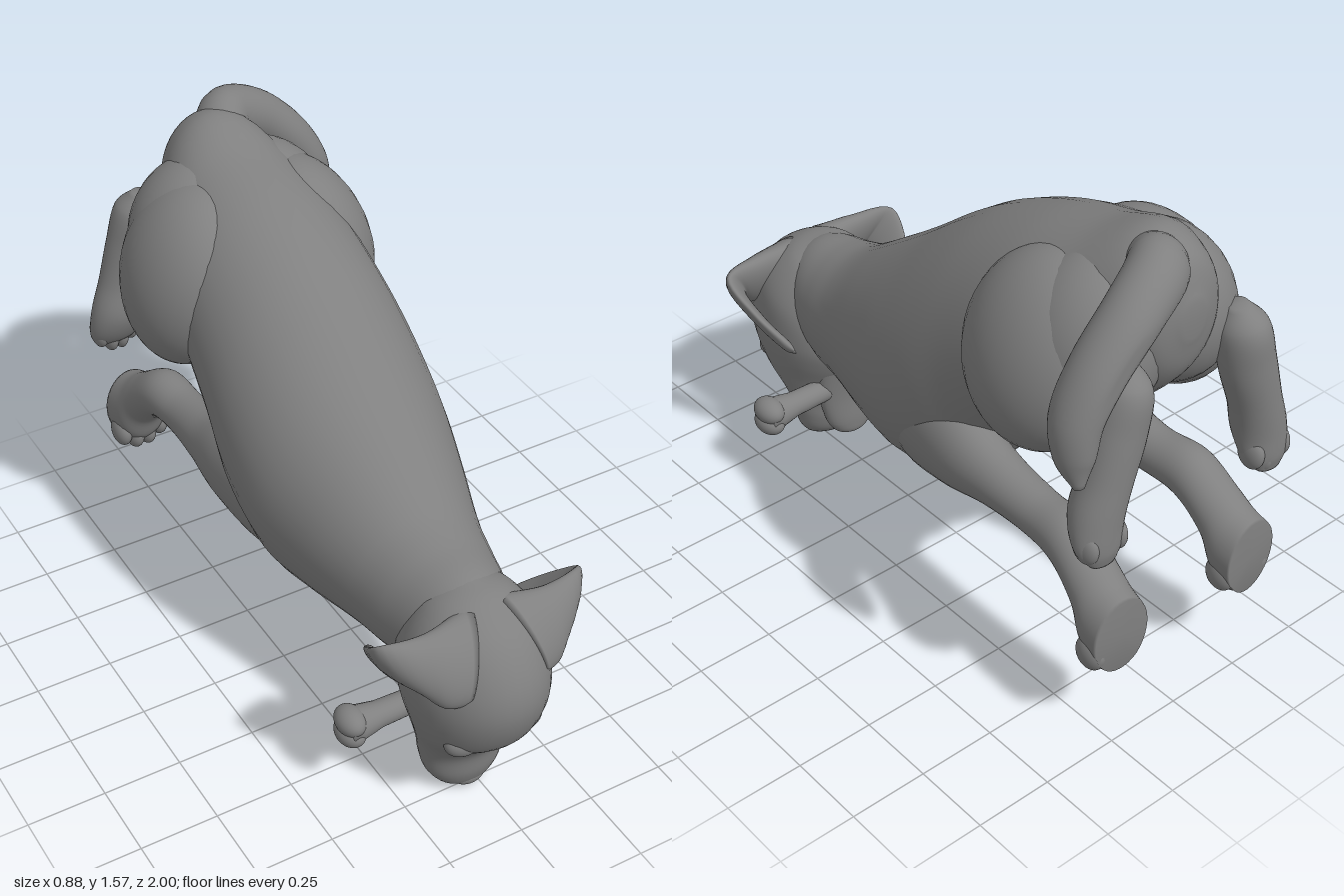
import * as THREE from 'three';

const material = new THREE.MeshStandardMaterial({ color: 0x808080, side: THREE.DoubleSide });

function add(group, name, geometry, position = [0, 0, 0], scale = [1, 1, 1]) {
  const mesh = new THREE.Mesh(geometry, material);
  mesh.name = name;
  mesh.position.set(...position);
  mesh.scale.set(...scale);
  group.add(mesh);
  return mesh;
}

// Smooth skin over oval sections; each section is [edge A, edge B, half width across]
function loft(sections, steps = 6, around = 36) {
  const curve = pick => new THREE.CatmullRomCurve3(sections.map(pick));
  const a = curve(s => new THREE.Vector3(...s[0]));
  const b = curve(s => new THREE.Vector3(...s[1]));
  const w = curve((s, i) => new THREE.Vector3(s[2], i, 0));
  const n = (sections.length - 1) * steps;
  const mid = t => a.getPoint(t).add(b.getPoint(t)).multiplyScalar(0.5);
  const pos = [], index = [];
  for (let i = 0; i <= n; i++) {
    const t = i / n;
    const centre = mid(t);
    const half = a.getPoint(t).sub(b.getPoint(t)).multiplyScalar(0.5);
    const tangent = mid(Math.min(1, t + 0.01)).sub(mid(Math.max(0, t - 0.01)));
    const side = half.clone().cross(tangent).normalize().multiplyScalar(Math.max(0.002, w.getPoint(t).x));
    for (let j = 0; j < around; j++) {
      const angle = (j / around) * Math.PI * 2;
      const p = centre.clone().addScaledVector(half, Math.cos(angle)).addScaledVector(side, Math.sin(angle));
      pos.push(p.x, p.y, Math.max(-1, p.z));
      if (i < n) {
        const k = (j + 1) % around, q = i * around, r = q + around;
        index.push(q + j, r + j, q + k, q + k, r + j, r + k);
      }
    }
  }
  // end caps
  const first = mid(0), last = mid(1), c = pos.length / 3;
  pos.push(first.x, first.y, first.z, last.x, last.y, Math.max(-1, last.z));
  for (let j = 0; j < around; j++) {
    const k = (j + 1) % around;
    index.push(c, j, k, c + 1, n * around + k, n * around + j);
  }
  const geometry = new THREE.BufferGeometry();
  geometry.setAttribute('position', new THREE.Float32BufferAttribute(pos, 3));
  geometry.setIndex(index);
  geometry.computeVertexNormals();
  return geometry;
}

// Sections given in the side plane: [x, zA, yA, zB, yB, half width]
const sideLoft = (rows, s = 1) =>
  loft(rows.map(([x, za, ya, zb, yb, w]) => [[x * s, ya, za], [x * s, yb, zb], w]));

const ball = new THREE.SphereGeometry(1, 32, 24);

export function createModel() {
  const model = new THREE.Group();
  model.name = 'dogWithBone';
  const dog = new THREE.Group();
  dog.name = 'dog';
  dog.position.x = -0.03;
  model.add(dog);

  add(dog, 'body', sideLoft([
    [0, 0.84, 0.7, 0.66, 0.42, 0.12],
    [0, 0.72, 0.79, 0.58, 0.38, 0.17],
    [0, 0.59, 0.82, 0.51, 0.37, 0.2],
    [0, 0.48, 0.86, 0.36, 0.36, 0.23],
    [0, 0.3, 0.98, 0.16, 0.33, 0.29],
    [0, 0.12, 1.11, 0.0, 0.32, 0.335],
    [0, -0.06, 1.25, -0.17, 0.4, 0.345],
    [0, -0.2, 1.34, -0.33, 0.59, 0.33],
    [0, -0.4, 1.43, -0.5, 0.76, 0.31],
    [0, -0.6, 1.49, -0.65, 0.88, 0.27],
    [0, -0.78, 1.55, -0.82, 1.03, 0.19],
    [0, -0.89, 1.5, -0.91, 1.15, 0.13],
    [0, -0.94, 1.38, -0.94, 1.27, 0.04],
  ]));

  add(dog, 'head', sideLoft([
    [0, 0.71, 0.79, 0.63, 0.77, 0.04],
    [0, 0.8, 0.77, 0.57, 0.69, 0.13],
    [0, 0.91, 0.7, 0.52, 0.55, 0.2],
    [0, 0.985, 0.58, 0.5, 0.44, 0.215],
    [0, 1.0, 0.47, 0.52, 0.37, 0.21],
    [0, 0.955, 0.34, 0.56, 0.29, 0.185],
    [0, 0.86, 0.24, 0.59, 0.2, 0.155],
    [0, 0.815, 0.17, 0.6, 0.13, 0.14],
    [0, 0.8, 0.08, 0.62, 0.075, 0.122],
    [0, 0.775, 0.025, 0.67, 0.03, 0.08],
    [0, 0.74, 0.005, 0.7, 0.012, 0.02],
  ]));
  add(dog, 'lowerJaw', sideLoft([
    [0, 0.66, 0.42, 0.52, 0.4, 0.12],
    [0, 0.66, 0.27, 0.545, 0.25, 0.12],
    [0, 0.65, 0.15, 0.55, 0.13, 0.095],
    [0, 0.64, 0.09, 0.56, 0.085, 0.06],
    [0, 0.61, 0.07, 0.59, 0.07, 0.01],
  ]));
  add(dog, 'nose', ball, [0, 0.042, 0.752], [0.055, 0.036, 0.036]);

  add(dog, 'tail', loft([
    [[0.02, 1.5, -0.72], [0.02, 1.34, -0.82], 0.08],
    [[0.08, 1.57, -0.84], [0.06, 1.38, -0.88], 0.085],
    [[0.24, 1.5, -0.91], [0.16, 1.35, -0.91], 0.085],
    [[0.39, 1.35, -0.92], [0.27, 1.26, -0.92], 0.085],
    [[0.465, 1.2, -0.92], [0.33, 1.17, -0.92], 0.08],
    [[0.47, 1.09, -0.94], [0.37, 1.06, -0.94], 0.06],
    [[0.44, 1.0, -0.97], [0.41, 1.0, -0.97], 0.015],
  ]));

  for (const [s, label] of [[1, 'left'], [-1, 'right']]) {
    const part = (name, geometry, [x, y, z] = [0, 0, 0], scale) =>
      add(dog, label + name, geometry, [x * s, y, z], scale);

    // folded ear flap, thick at the skull, then outward and back to the tip
    part('Ear', loft([
      [[0.04, 0.755, 0.77], [0.13, 0.53, 0.92], 0.07],
      [[0.2, 0.74, 0.8], [0.19, 0.53, 0.895], 0.05],
      [[0.335, 0.735, 0.775], [0.25, 0.585, 0.83], 0.025],
      [[0.315, 0.64, 0.67], [0.235, 0.52, 0.72], 0.018],
      [[0.26, 0.55, 0.585], [0.225, 0.49, 0.61], 0.015],
      [[0.24, 0.52, 0.565], [0.23, 0.5, 0.57], 0.003],
    ].map(([a, b, w]) => [[a[0] * s, a[1], a[2]], [b[0] * s, b[1], b[2]], w])));
    part('Eye', ball, [0.108, 0.283, 0.845], [0.026, 0.02, 0.026]);
    part('Brow', ball, [0.1, 0.335, 0.868], [0.065, 0.05, 0.045]);

    part('FrontLeg', sideLoft([
      [0.16, 0.14, 0.74, 0.14, 0.52, 0.05],
      [0.2, -0.06, 0.81, -0.03, 0.44, 0.1],
      [0.225, -0.28, 0.77, -0.25, 0.47, 0.105],
      [0.23, -0.45, 0.7, -0.43, 0.51, 0.085],
      [0.23, -0.62, 0.665, -0.6, 0.515, 0.075],
      [0.24, -0.77, 0.665, -0.74, 0.5, 0.08],
      [0.25, -0.89, 0.59, -0.85, 0.41, 0.085],
      [0.255, -0.95, 0.55, -0.9, 0.31, 0.095],
      [0.26, -1.0, 0.53, -0.995, 0.275, 0.095],
    ], s));
    // thigh leaning in towards the spine, and the hip behind it
    part('Haunch', ball, [0.205, 1.145, -0.59], [0.195, 0.295, 0.265]).rotation.z = 0.3 * s;
    part('Hip', ball, [0.13, 1.21, -0.69], [0.205, 0.255, 0.22]).rotation.z = 0.3 * s;
    part('HindFoot', sideLoft([
      [0.21, -0.87, 1.27, -0.93, 1.27, 0.03],
      [0.22, -0.83, 1.2, -0.99, 1.21, 0.075],
      [0.245, -0.84, 1.08, -1.0, 1.08, 0.085],
      [0.285, -0.85, 0.95, -1.0, 0.93, 0.08],
      [0.315, -0.85, 0.84, -1.0, 0.82, 0.085],
      [0.325, -0.89, 0.75, -1.0, 0.74, 0.078],
      [0.325, -0.945, 0.7, -0.99, 0.695, 0.045],
    ], s));

    // four toes on each paw
    for (let i = 0; i < 4; i++) {
      const u = i - 1.5, back = Math.abs(u) > 1 ? 0.025 : 0;
      part('FrontToe', ball, [0.26 + u * 0.044, 0.315 + back, -0.942], [0.032, 0.055, 0.052]);
      part('HindToe', ball, [0.32 + u * 0.035, 0.735 + back, -0.95], [0.027, 0.055, 0.047]);
    }
  }

  // bone held crosswise in the mouth
  const bone = new THREE.Group();
  bone.name = 'bone';
  bone.position.set(0, 0.275, 0.605);
  dog.add(bone);
  const profile = [[0, -0.35], [0.056, -0.34], [0.055, -0.3], [0.042, -0.23], [0.036, 0],
    [0.042, 0.23], [0.055, 0.3], [0.056, 0.34], [0, 0.35]].map(p => new THREE.Vector2(...p));
  add(bone, 'boneShaft', new THREE.LatheGeometry(profile, 24)).rotation.z = Math.PI / 2;
  for (const x of [-0.325, 0.325])
    for (const y of [-0.022, 0.022])
      add(bone, 'boneKnob', ball, [x, y, 0], [0.045, 0.043, 0.06]);

  return model;
}
